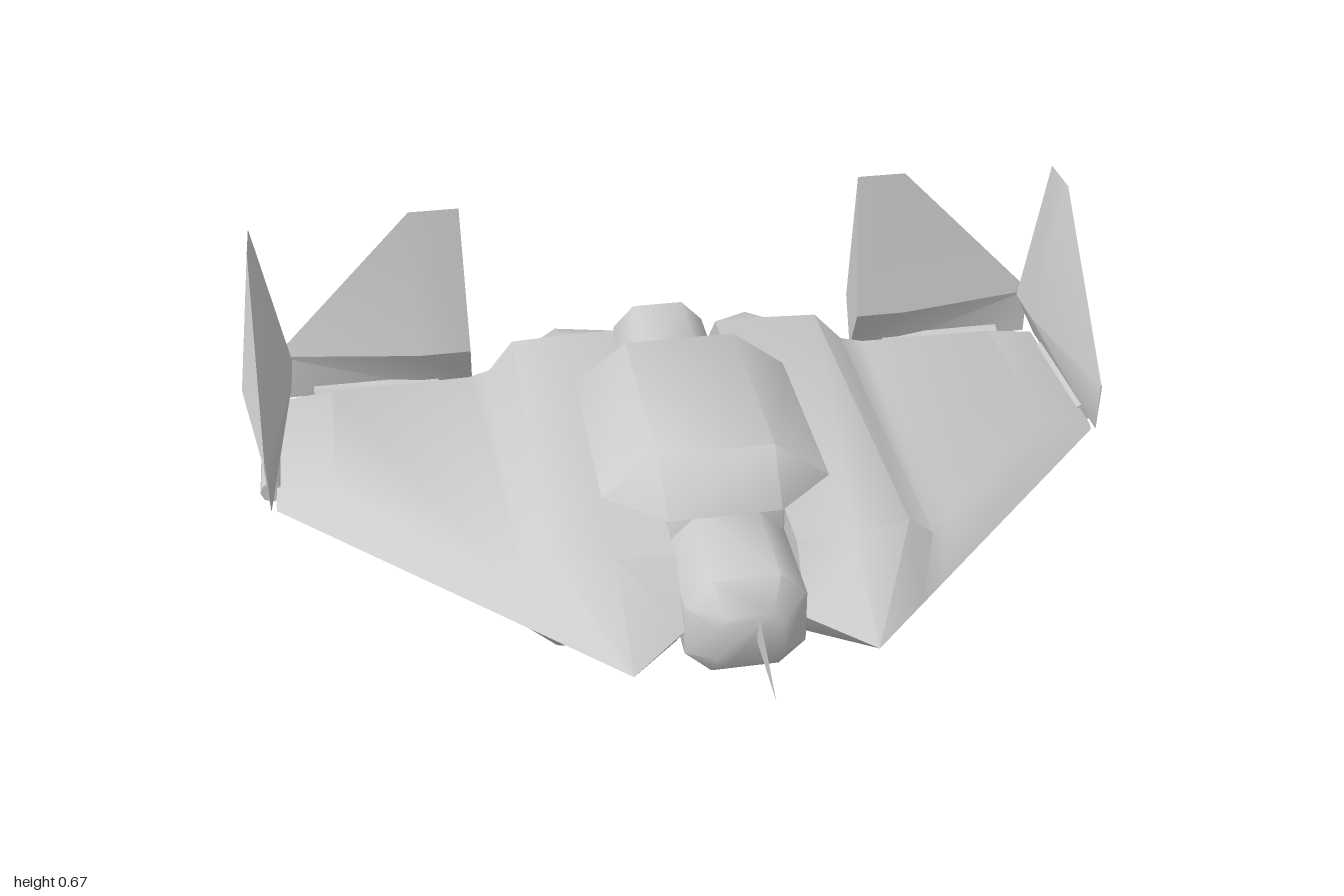
import * as THREE from 'three';
import { toCreasedNormals } from 'three/addons/utils/BufferGeometryUtils.js';

const grey = new THREE.MeshStandardMaterial({ color: 0xcccccc });

// Skins a row of equal-length rings and caps both ends, faces always outward
function loft(rings, crease = 0.9) {
  const n = rings[0].length, last = (rings.length - 1) * n;
  const pts = rings.flat(), tris = [];
  for (let r = 0; r < rings.length - 1; r++) {
    for (let i = 0; i < n; i++) {
      const a = r * n + i, b = r * n + (i + 1) % n;
      tris.push([a, b, b + n], [a, b + n, a + n]);
    }
  }
  for (let i = 1; i < n - 1; i++) tris.push([0, i + 1, i], [last, last + i, last + i + 1]);

  let volume = 0;
  for (const [a, b, c] of tris) volume += pts[a].dot(pts[b].clone().cross(pts[c]));
  const index = tris.flatMap(([a, b, c]) => (volume < 0 ? [a, c, b] : [a, b, c]));

  const geo = new THREE.BufferGeometry().setFromPoints(pts);
  geo.setIndex(index);
  return toCreasedNormals(geo, crease);
}

const V = (x, y, z) => new THREE.Vector3(x, y, z);

function addMesh(parent, name, geo) {
  const mesh = new THREE.Mesh(geo, grey);
  mesh.name = name;
  parent.add(mesh);
  return mesh;
}

// Chamfered rectangle: w, h half sizes; cw, ch half lengths of the flat sides
const MID = 0.207;
function octagon(z, w, h, cw, ch) {
  return [[cw, h], [w, ch], [w, -ch], [cw, -h], [-cw, -h], [-w, -ch], [-w, ch], [-cw, h]]
    .map(([x, y]) => V(x, MID + y, z));
}

// Wing stations: x, leading z, top front z, top rear z, trailing z, half thickness
const STATIONS = [
  [0.125, 0.48, 0.37, -0.54, -0.65, 0.113],
  [0.245, 0.60, 0.37, -0.54, -0.77, 0.113],
  [0.37, 0.475, 0.34, -0.53, -0.645, 0.113],
  [0.43, 0.415, 0.32, -0.50, -0.58, 0.058],
  [0.48, 0.365, 0.27, -0.48, -0.54, 0.056],
  [0.80, 0.045, -0.05, -0.48, -0.54, 0.052],
  [0.93, -0.085, -0.10, -0.53, -0.54, 0.008],
];

function wing(side) {
  return loft(STATIONS.map(([x, lead, front, rear, trail, t]) => [
    [lead, 0], [front, t], [rear, t], [trail, 0], [rear, -t], [front, -t],
  ].map(([z, y]) => V(side * x, MID + y, z))), 0.75);
}

// Kite-section fin with a hinge rod; place(u, y, t) maps length, height, thickness
function fin(name, place) {
  const group = new THREE.Group();
  group.name = name;
  const ring = (u, top, topU, t) => [
    place(u, 0.205, 0), place(u, 0.32, t), place(topU, top, 0), place(u, 0.32, -t),
  ];
  addMesh(group, 'finBlade', loft([
    ring(0, 0.667, 0, 0.056),
    ring(0.12, 0.667, 0.115, 0.056),
    ring(0.45, 0.325, 0.45, 0.002),
  ], 0.5));

  const a = place(0.08, 0.205, 0), b = place(0.375, 0.205, 0);
  const rod = new THREE.CylinderGeometry(0.025, 0.025, a.distanceTo(b), 8);
  const hinge = addMesh(group, 'finHinge', toCreasedNormals(rod, 0.9));
  hinge.position.lerpVectors(a, b, 0.5);
  hinge.quaternion.setFromUnitVectors(V(0, 1, 0), b.clone().sub(a).normalize());
  return group;
}

export function createModel() {
  const model = new THREE.Group();
  model.name = 'spacecraft';

  // Central hull, chamfered on every side
  addMesh(model, 'hull', loft([
    octagon(0.26, 0.12, 0.113, 0.12, 0.113),
    octagon(0.15, 0.245, 0.205, 0.125, 0.113),
    octagon(-0.32, 0.245, 0.205, 0.125, 0.113),
    octagon(-0.43, 0.12, 0.113, 0.12, 0.113),
  ]));

  // Cockpit pod in front, engine pod behind
  addMesh(model, 'cockpit', loft([
    octagon(0.2, 0.125, 0.113, 0.07, 0.06),
    octagon(0.475, 0.125, 0.113, 0.07, 0.06),
    octagon(0.53, 0.07, 0.06, 0.045, 0.04),
  ]));
  addMesh(model, 'engine', loft([
    octagon(-0.38, 0.11, 0.113, 0.06, 0.06),
    octagon(-0.65, 0.11, 0.113, 0.06, 0.06),
  ]));

  // Wings with an outer and a rear fin each
  for (const side of [1, -1]) {
    const label = side > 0 ? 'left' : 'right';
    addMesh(model, label + 'Wing', wing(side));
    model.add(fin(label + 'OuterFin', (u, y, t) => V(side * (0.942 + t), y, -0.537 + u)));
    model.add(fin(label + 'RearFin', (u, y, t) => V(side * (0.47 + u), y, -0.558 + t)));
  }

  // Thin detached blade ahead of the nose
  const blade = new THREE.BufferGeometry().setFromPoints([
    V(0, 0.25, 0.768), V(0, 0.25, 0.59), V(0, 0.332, 0.59),
  ]);
  blade.computeVertexNormals();
  const noseBlade = addMesh(model, 'noseBlade', blade);
  noseBlade.material = grey.clone();
  noseBlade.material.side = THREE.DoubleSide;

  return model;
}
